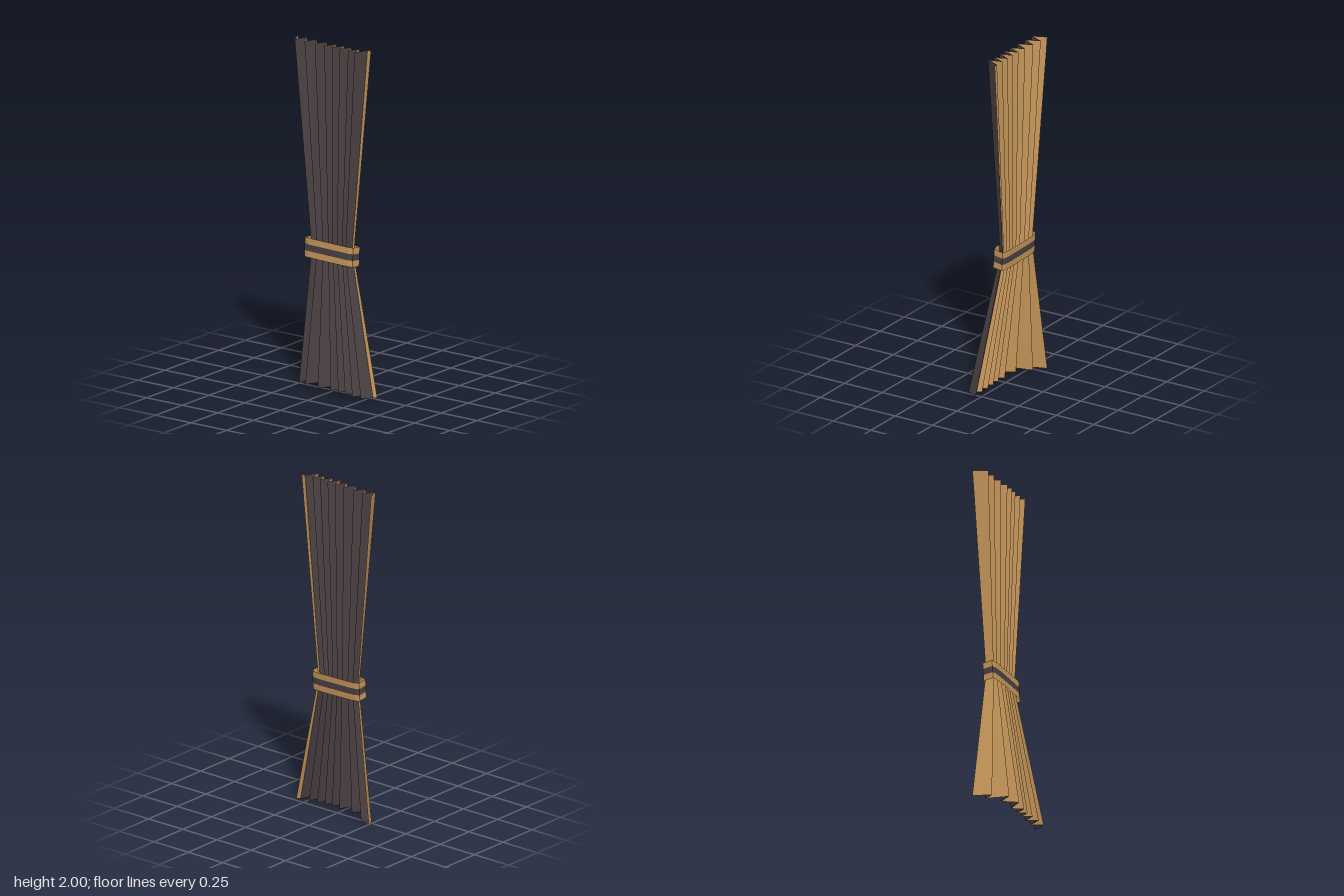
import * as THREE from 'three';

const tan = new THREE.MeshStandardMaterial({ color: 0xc6965a, side: THREE.DoubleSide });
const dark = new THREE.MeshStandardMaterial({ color: 0x4a4042, side: THREE.DoubleSide });

// Pleat folds from back to front: [x, z] along the top edge, [x, y, z] along the hem
const topFolds = [
  [0.077, -0.31], [-0.005, -0.275], [0.075, -0.245], [-0.006, -0.205], [0.07, -0.175], [-0.01, -0.13],
  [0.065, -0.1], [-0.015, -0.06], [0.062, -0.035], [-0.015, -0.005], [0.062, 0.02], [-0.012, 0.045],
  [0.062, 0.075], [-0.012, 0.105], [0.062, 0.13], [-0.018, 0.155], [0.062, 0.185], [0.062, 0.21],
];
const hemFolds = [
  [0.083, 0, -0.3], [-0.01, 0.01, -0.24], [0.045, 0.012, -0.21], [-0.072, 0.025, -0.15], [0, 0.028, -0.105],
  [-0.085, 0.025, -0.052], [-0.01, 0.023, -0.005], [-0.075, 0.02, 0.03], [-0.015, 0.02, 0.053],
  [-0.07, 0.018, 0.08], [-0.015, 0.018, 0.105], [-0.075, 0.016, 0.132], [-0.015, 0.016, 0.16],
  [-0.085, 0.014, 0.19], [-0.015, 0.014, 0.22], [-0.085, 0.012, 0.25], [-0.015, 0.01, 0.282], [-0.005, 0.01, 0.305],
];
const WAIST = 0.8;

// Ruled strip between two edges
function strip(a, b, rows, material, name) {
  const pos = [], idx = [];
  for (let r = 0; r <= rows; r++) {
    for (const [p, q] of [a, b]) pos.push(...p.clone().lerp(q, r / rows).toArray());
    if (r < rows) idx.push(2 * r, 2 * r + 1, 2 * r + 2, 2 * r + 1, 2 * r + 3, 2 * r + 2);
  }
  const g = new THREE.BufferGeometry();
  g.setAttribute('position', new THREE.Float32BufferAttribute(pos, 3));
  g.setIndex(idx);
  g.computeVertexNormals();
  const mesh = new THREE.Mesh(g, material);
  mesh.name = name;
  return mesh;
}

// Pleated cloth: gathered at the waist, flaring above and below
function createCurtain() {
  const curtain = new THREE.Group();
  curtain.name = 'curtain';
  const top = topFolds.map(([x, z]) => new THREE.Vector3(x, 2, z));
  const waist = topFolds.map(([x, z]) =>
    new THREE.Vector3(0.03 + (x - 0.028) * 0.48, WAIST, -0.19 + (z + 0.31) * 0.56));
  const hem = hemFolds.map(p => new THREE.Vector3(...p));
  for (let i = 0; i < top.length - 1; i++) {
    const material = i % 2 ? dark : tan;
    curtain.add(strip([waist[i], top[i]], [waist[i + 1], top[i + 1]], 6, material, 'upperPleat'));
    curtain.add(strip([hem[i], waist[i]], [hem[i + 1], waist[i + 1]], 6, material, 'lowerPleat'));
  }
  return curtain;
}

// Striped tie: a loop with chamfered corners, leaning slightly
function createTieBand() {
  const band = new THREE.Group();
  band.name = 'tieBand';
  const loop = [
    [0.06, -0.211], [0.069, -0.185], [0.072, -0.13], [0.072, 0.07], [0.068, 0.11], [0.061, 0.13],
    [0.002, 0.127], [-0.007, 0.1], [-0.009, 0.05], [-0.009, -0.13], [-0.006, -0.18], [0.002, -0.21],
  ];
  const at = ([x, z], h) =>
    new THREE.Vector3(x + 0.06 * h, WAIST - 0.005 + h - 0.12 * (x - 0.03) - 0.02 * (z + 0.04), z);
  const levels = [-0.056, -0.019, 0.019, 0.056];
  for (let s = 0; s < 3; s++) {
    loop.forEach((p, i) => {
      const q = loop[(i + 1) % loop.length];
      band.add(strip([at(p, levels[s]), at(p, levels[s + 1])], [at(q, levels[s]), at(q, levels[s + 1])],
        1, s === 1 ? dark : tan, 'tieStripe'));
    });
  }
  return band;
}

export function createModel() {
  const model = new THREE.Group();
  model.name = 'tiedCurtain';
  model.add(createCurtain(), createTieBand());
  return model;
}
